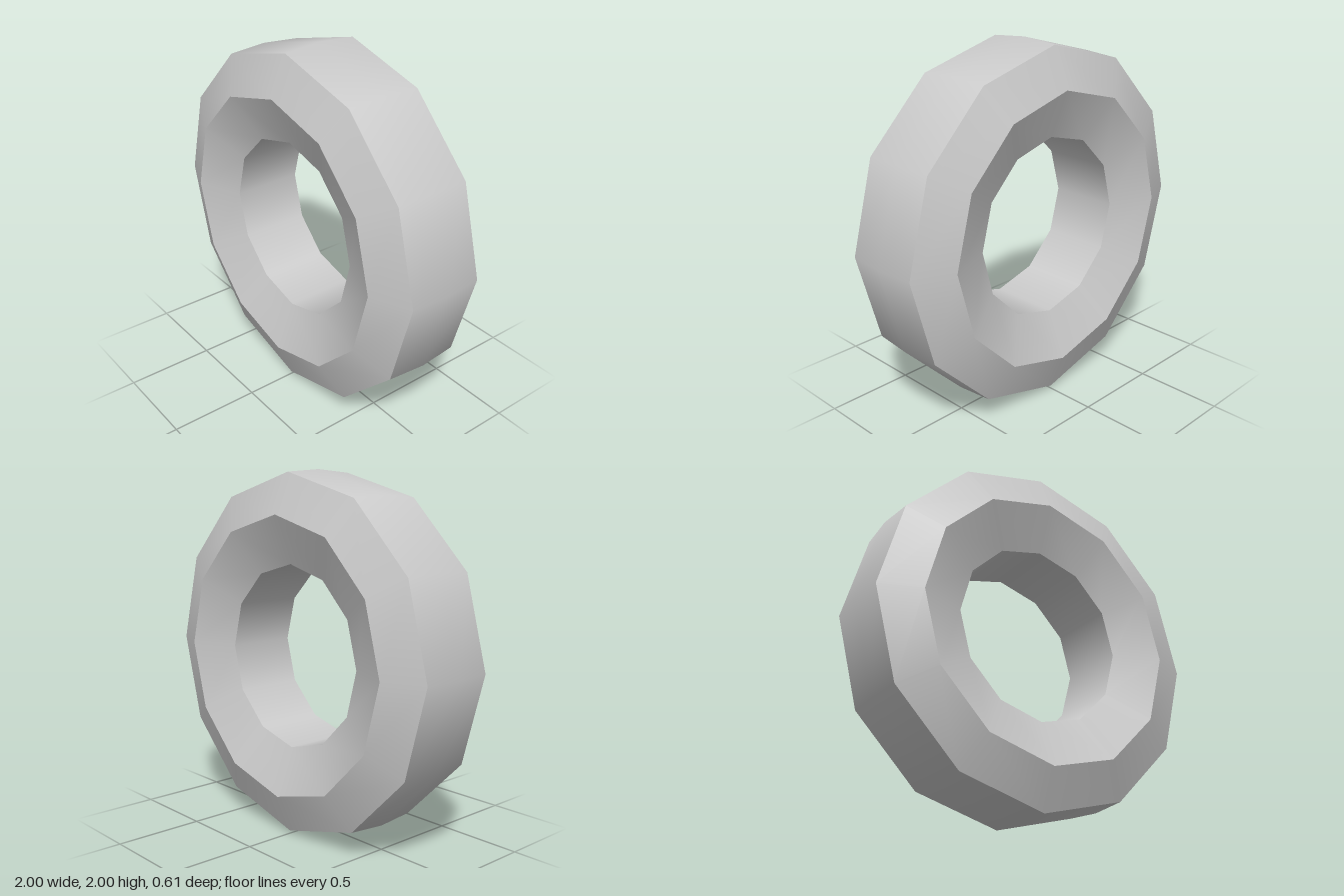
import * as THREE from 'three';

const SIDES = 12;

export function createModel() {
  const model = new THREE.Group();
  model.name = 'ring';
  const material = new THREE.MeshStandardMaterial({ color: 0xcccccc });

  // Each band is [radius, depth] points, smooth within itself, with a sharp edge to the next.
  const bands = {
    outerTread: [[0.984, -0.215], [1, 0], [0.984, 0.215]],
    frontShoulder: [[0.984, 0.215], [0.765, 0.305]],
    frontDish: [[0.765, 0.305], [0.503, 0.2]],
    innerBore: [[0.503, 0.2], [0.503, -0.2]],
    backDish: [[0.503, -0.2], [0.765, -0.305]],
    backShoulder: [[0.765, -0.305], [0.984, -0.215]],
  };

  for (const [name, profile] of Object.entries(bands)) {
    const points = profile.map(([r, d]) => new THREE.Vector2(r, d));
    const geometry = new THREE.LatheGeometry(points, SIDES);
    geometry.rotateX(Math.PI / 2); // axis along z
    geometry.translate(0, 1, 0); // stand on the ground
    const mesh = new THREE.Mesh(geometry, material);
    mesh.name = name;
    model.add(mesh);
  }
  return model;
}
